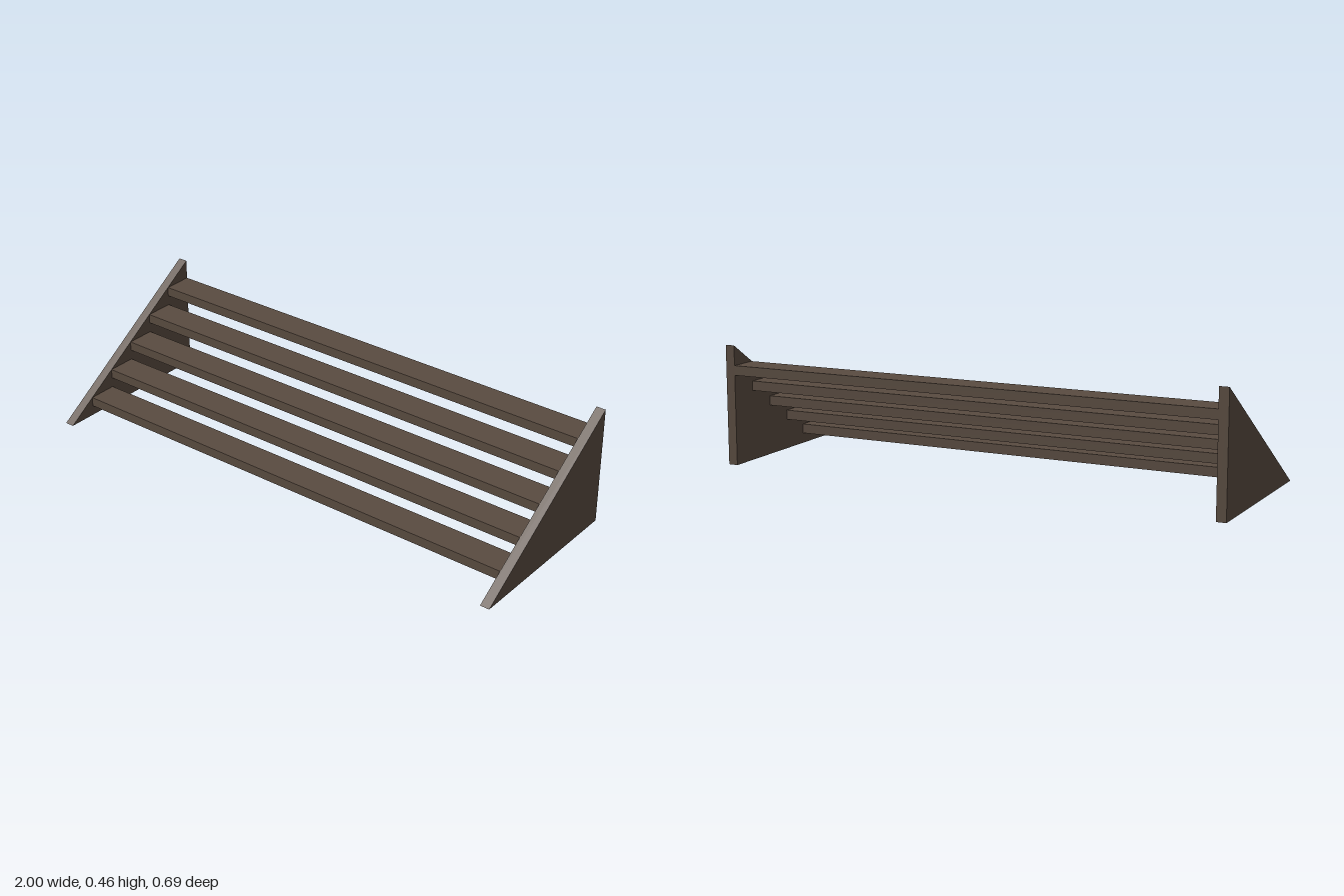
import * as THREE from 'three';

const DEPTH = 0.692, HEIGHT = 0.461, BOARD = 0.037, STEPS = 6;

export function createModel() {
  const model = new THREE.Group();
  model.name = 'steppedRack';
  const wood = new THREE.MeshStandardMaterial({ color: 0x594b40 });
  wood.name = 'darkWood';

  // Triangular side panels: drawn in profile, extruded, then turned so the slope faces +z
  const profile = new THREE.Shape([
    new THREE.Vector2(-DEPTH / 2, 0),
    new THREE.Vector2(DEPTH / 2, 0),
    new THREE.Vector2(DEPTH / 2, HEIGHT),
  ]);
  const panel = new THREE.ExtrudeGeometry(profile, { depth: BOARD, bevelEnabled: false });
  panel.translate(0, 0, -BOARD / 2).rotateY(Math.PI / 2);
  for (const [name, side] of [['leftPanel', 1], ['rightPanel', -1]]) {
    const mesh = new THREE.Mesh(panel, wood);
    mesh.name = name;
    mesh.position.x = side * (1 - BOARD / 2);
    model.add(mesh);
  }

  // Five shelves, each with its top front edge on the slope
  const run = DEPTH / STEPS, rise = HEIGHT / STEPS;
  const shelf = new THREE.BoxGeometry(2 - 2 * BOARD, BOARD, run);
  for (let i = 1; i < STEPS; i++) {
    const mesh = new THREE.Mesh(shelf, wood);
    mesh.name = `shelf${i}`;
    mesh.position.set(0, i * rise - BOARD / 2, DEPTH / 2 - (i + 0.5) * run);
    model.add(mesh);
  }
  return model;
}
